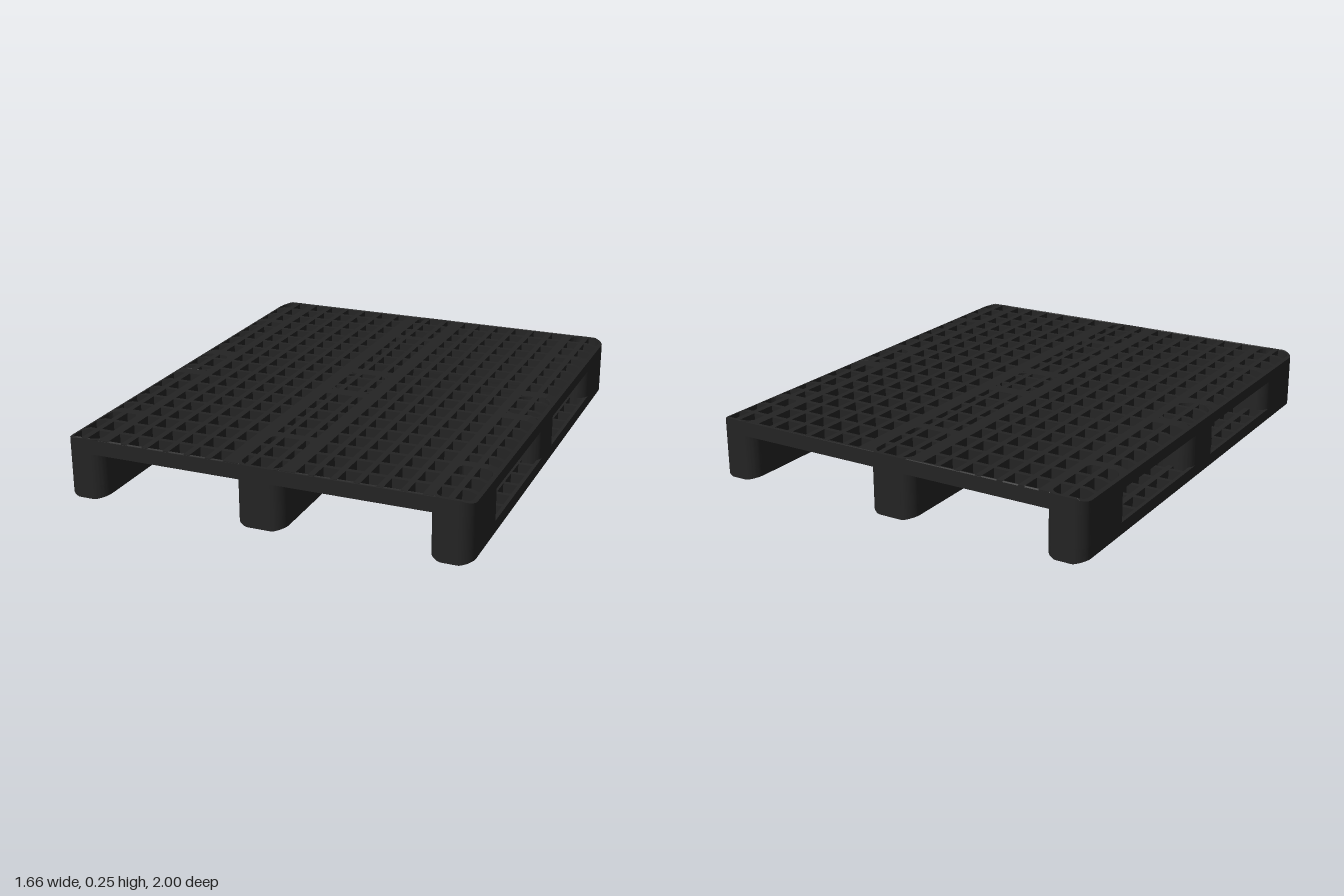
import * as THREE from 'three';
import { toCreasedNormals } from 'three/addons/utils/BufferGeometryUtils.js';

const W = 0.83, L = 1, H = 0.25;          // half width, half length, height
const T = 0.06, WALL = 0.015, R = 0.055;  // deck thickness, wall, corner radius
const material = new THREE.MeshStandardMaterial({ color: 0x242424 });

// long edges slope off slightly on the deck and under each runner
const slope = (d) => Math.max(0, d) / 0.045;
const deckTop = (x) => H - 0.015 * slope(Math.abs(x) - (W - 0.045));
const runnerBottom = (x, r) => 0.012 * slope(Math.abs(x - r.x) - (r.half - 0.045));

const runners = [
  { x: -0.7475, half: 0.0825, ribs: [-0.746] },
  { x: 0, half: 0.1, ribs: [-0.045, 0.045] },
  { x: 0.7475, half: 0.0825, ribs: [0.746] },
];
const blocks = [{ z: -0.835, half: 0.165 }, { z: 0, half: 0.122 }, { z: 0.835, half: 0.165 }];

// rib positions across and along the pallet
const ribX = [0.045, 0.21, 0.3, 0.39, 0.48, 0.57, 0.746].flatMap((x) => [-x, x]);
const ribZ = [0.055, 0.16, 0.265, 0.37, 0.473, 0.577, 0.682, 0.787, 0.893].flatMap((z) => [-z, z]);

function roundedRect(Type, hx, hy, r) {
  const p = new Type();
  p.absarc(hx - r, hy - r, r, 0, Math.PI / 2);
  p.absarc(r - hx, hy - r, r, Math.PI / 2, Math.PI);
  p.absarc(r - hx, r - hy, r, Math.PI, Math.PI * 1.5);
  p.absarc(hx - r, r - hy, r, Math.PI * 1.5, Math.PI * 2);
  p.closePath();
  return p;
}

function add(group, geometry, name) {
  const mesh = new THREE.Mesh(geometry, material);
  mesh.name = name;
  group.add(mesh);
}

// upright hollow wall with rounded corners; bottom and top are functions of x
function tube(x, z, hx, hz, bottom, top) {
  const shape = roundedRect(THREE.Shape, hx, hz, R);
  shape.holes.push(roundedRect(THREE.Path, hx - WALL, hz - WALL, R - WALL));
  const g = new THREE.ExtrudeGeometry(shape, { depth: 1, bevelEnabled: false, curveSegments: 6 });
  g.rotateX(-Math.PI / 2).translate(x, 0, z);
  const p = g.attributes.position;
  for (let i = 0; i < p.count; i++) {
    const px = p.getX(i);
    p.setY(i, p.getY(i) > 0.5 ? top(px) : bottom(px));
  }
  return toCreasedNormals(g, 0.6);
}

// bar running along x that follows the sloping edges
function crossBar(x0, x1, z, width, bottom, top, bends) {
  const xs = [x0, ...bends.filter((b) => b > x0 && b < x1), x1];
  const pts = xs.map((x) => new THREE.Vector2(x, bottom(x)));
  pts.push(...xs.reverse().map((x) => new THREE.Vector2(x, top(x))));
  const g = new THREE.ExtrudeGeometry(new THREE.Shape(pts), { depth: width, bevelEnabled: false });
  return g.translate(0, 0, z - width / 2);
}

// bar running along z
function longBar(x, width, y0, y1) {
  return new THREE.BoxGeometry(width, y1 - y0, 2 * L - 0.02).translate(x, (y0 + y1) / 2, 0);
}

function buildDeck() {
  const deck = new THREE.Group();
  deck.name = 'deck';
  const under = () => H - T;
  const bends = [-(W - 0.045), W - 0.045];
  add(deck, tube(0, 0, W, L, under, deckTop), 'deckRim');
  for (const x of ribX) add(deck, longBar(x, 0.025, H - T, H), 'deckLongRib');
  for (const z of ribZ) add(deck, crossBar(0.01 - W, W - 0.01, z, 0.02, under, deckTop, bends), 'deckCrossRib');
  // wide bands beside the runners
  for (const s of [-1, 1]) {
    add(deck, longBar(s * 0.661, 0.042, H - T, H), 'outerBand');
    add(deck, longBar(s * 0.116, 0.064, H - T, H), 'centreBand');
  }
  // wide bands across each runner at the block ends
  for (const r of runners) {
    for (const [z, w] of [[0.672, 0.045], [0.142, 0.055]]) {
      for (const s of [-1, 1]) {
        add(deck, crossBar(r.x - r.half + 0.005, r.x + r.half - 0.005, s * z, w, under, deckTop, bends), 'blockBand');
      }
    }
  }
  return deck;
}

function buildRunner(r) {
  const runner = new THREE.Group();
  runner.name = 'runner';
  const bottom = (x) => runnerBottom(x, r);
  const top = () => T;
  const bends = [r.x - r.half + 0.045, r.x + r.half - 0.045];
  add(runner, tube(r.x, 0, r.half, L, bottom, top), 'runnerRim');
  for (const x of r.ribs) add(runner, longBar(x, 0.025, 0, T), 'runnerLongRib');
  for (const z of ribZ) {
    add(runner, crossBar(r.x - r.half + 0.01, r.x + r.half - 0.01, z, 0.02, bottom, top, bends), 'runnerCrossRib');
  }
  // hollow blocks joining runner and deck
  for (const b of blocks) add(runner, tube(r.x, b.z, r.half, b.half, bottom, deckTop), 'block');
  return runner;
}

export function createModel() {
  const pallet = new THREE.Group();
  pallet.name = 'pallet';
  pallet.add(buildDeck());
  for (const r of runners) pallet.add(buildRunner(r));
  return pallet;
}
